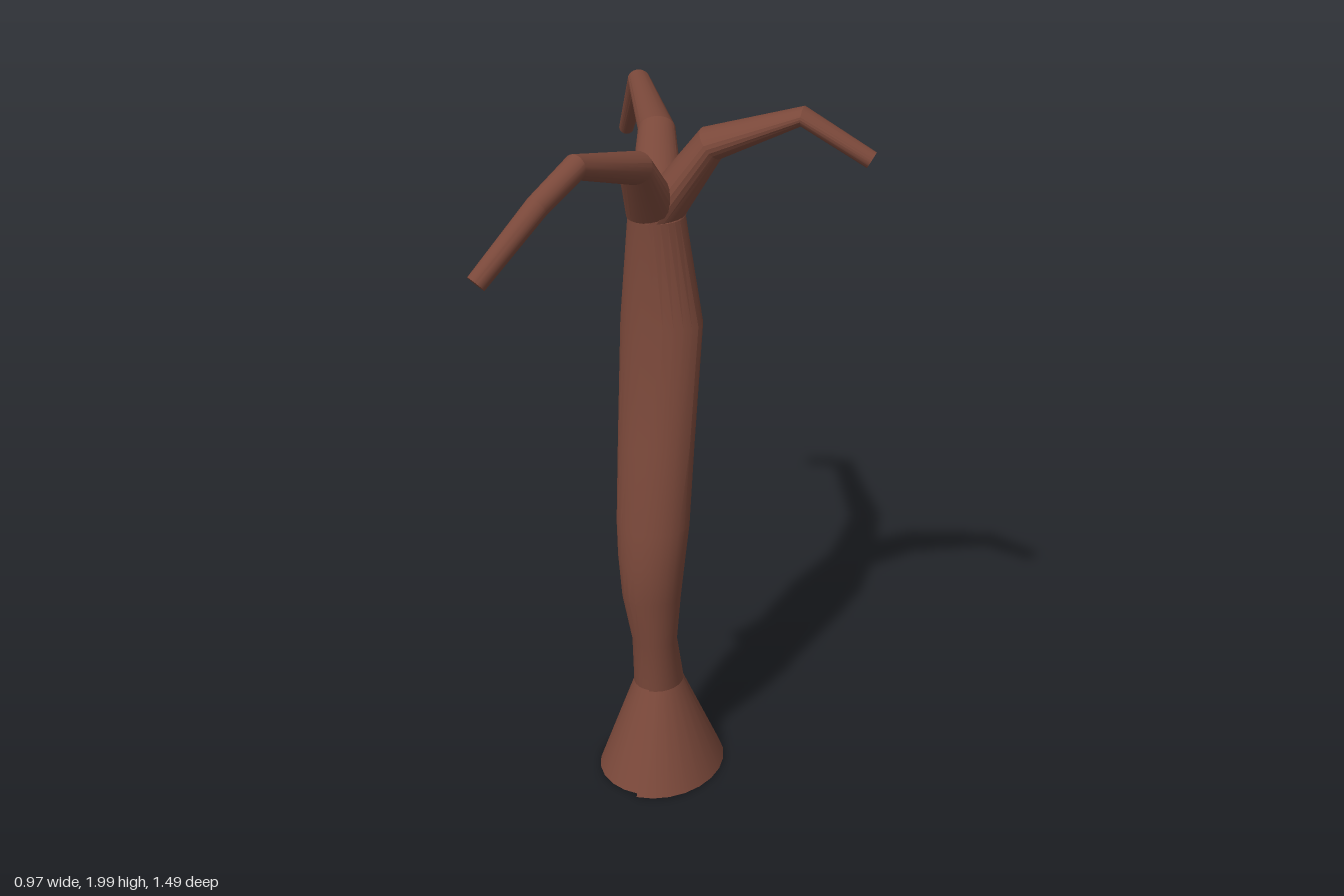
import * as THREE from 'three';
import { toCreasedNormals } from 'three/addons/utils/BufferGeometryUtils.js';

const SIDES = 24;
const UP = new THREE.Vector3(0, 1, 0);

// Skins a list of closed rings (arrays of Vector3, counter-clockwise about the path) and caps both ends
function skin(rings) {
  const n = rings[0].length;
  const pos = [];
  const tri = (...pts) => pts.forEach((p) => pos.push(p.x, p.y, p.z));
  for (let i = 0; i < rings.length - 1; i++) {
    for (let j = 0; j < n; j++) {
      const k = (j + 1) % n;
      const a = rings[i][j], b = rings[i][k], c = rings[i + 1][k], d = rings[i + 1][j];
      tri(a, b, c);
      tri(a, c, d);
    }
  }
  const centre = (r) => r.reduce((s, p) => s.add(p), new THREE.Vector3()).divideScalar(n);
  const first = rings[0], last = rings[rings.length - 1];
  const c0 = centre(first), c1 = centre(last);
  for (let j = 0; j < n; j++) {
    const k = (j + 1) % n;
    tri(c0, first[k], first[j]);
    tri(c1, last[j], last[k]);
  }
  const g = new THREE.BufferGeometry();
  g.setAttribute('position', new THREE.Float32BufferAttribute(pos, 3));
  return toCreasedNormals(g, 0.32);
}

// Trunk: horizontal rings from x and z extents; the -x half is pulled in to leave a split seam
function trunkGeometry(sections) {
  return skin(sections.map(([y, x0, x1, z0, z1, inset]) => {
    const ring = [];
    const cx = (x0 + x1) / 2, cz = (z0 + z1) / 2;
    for (let half = 0; half < 2; half++) {
      for (let j = 0; j <= SIDES / 2; j++) {
        const a = -Math.PI / 2 + half * Math.PI + (j / (SIDES / 2)) * Math.PI;
        const k = half ? inset : 1;
        ring.push(new THREE.Vector3(
          cx + Math.cos(a) * (x1 - x0) / 2, y, cz - Math.sin(a) * k * (z1 - z0) / 2));
      }
    }
    return ring;
  }));
}

// Branch: tapered rings [x, y, z, width radius, height radius] that turn with the path
function branchGeometry(sections) {
  const pts = sections.map((s) => new THREE.Vector3(s[0], s[1], s[2]));
  const last = pts.length - 1;
  const dir = (i) => pts[i + 1].clone().sub(pts[i]).normalize();
  const u = new THREE.Vector3().crossVectors(UP, pts[last].clone().sub(pts[0])).normalize();
  return skin(sections.map((s, i) => {
    const t = i === 0 ? UP.clone() : i === last ? dir(i - 1) : dir(i - 1).add(dir(i)).normalize();
    u.addScaledVector(t, -u.dot(t)).normalize();
    const v = new THREE.Vector3().crossVectors(t, u);
    return Array.from({ length: SIDES }, (_, j) => {
      const a = (j / SIDES) * Math.PI * 2;
      return pts[i].clone()
        .addScaledVector(u, Math.cos(a) * s[3])
        .addScaledVector(v, Math.sin(a) * s[4]);
    });
  }));
}

export function createModel() {
  const group = new THREE.Group();
  const bark = new THREE.MeshStandardMaterial({ color: 0x7a483a });
  bark.name = 'bark brown';

  const add = (name, geometry) => {
    const mesh = new THREE.Mesh(geometry, bark);
    mesh.name = name;
    group.add(mesh);
  };

  // Curved trunk with a flared, split foot: y, x range, z range, inset of the split half
  add('trunk', trunkGeometry([
    [0.005, -0.26, 0.10, -0.137, 0.308, 0.92],
    [0.28, -0.16, -0.017, 0.0, 0.17, 0.93],
    [0.43, -0.155, -0.025, 0.048, 0.178, 0.97],
    [0.58, -0.178, -0.008, 0.048, 0.208, 1],
    [0.70, -0.19, 0.004, 0.036, 0.21, 1],
    [0.80, -0.197, 0.013, 0.025, 0.2, 1],
    [1.04, -0.202, 0.018, -0.002, 0.162, 1],
    [1.38, -0.21, 0.025, -0.055, 0.106, 1],
    [1.68, -0.185, -0.03, -0.07, 0.11, 1],
  ]));

  // Three bent branches fan out from the top of the trunk
  const root = [-0.107, 1.68, 0.02];
  add('leftBranch', branchGeometry([
    [...root, 0.09, 0.077],
    [0.04, 1.885, -0.004, 0.073, 0.048],
    [0.283, 1.973, -0.028, 0.042, 0.026],
    [0.468, 1.867, -0.043, 0.024, 0.024],
  ]));
  add('backBranch', branchGeometry([
    [...root, 0.078, 0.088],
    [-0.172, 1.86, -0.17, 0.052, 0.045],
    [-0.37, 1.885, -0.575, 0.033, 0.028],
    [-0.467, 1.69, -0.725, 0.022, 0.022],
  ]));
  add('frontBranch', branchGeometry([
    [...root, 0.077, 0.09],
    [-0.108, 1.855, 0.18, 0.05, 0.046],
    [-0.168, 1.928, 0.45, 0.034, 0.034],
    [-0.215, 1.863, 0.59, 0.031, 0.031],
    [-0.327, 1.695, 0.722, 0.027, 0.027],
  ]));

  return group;
}
